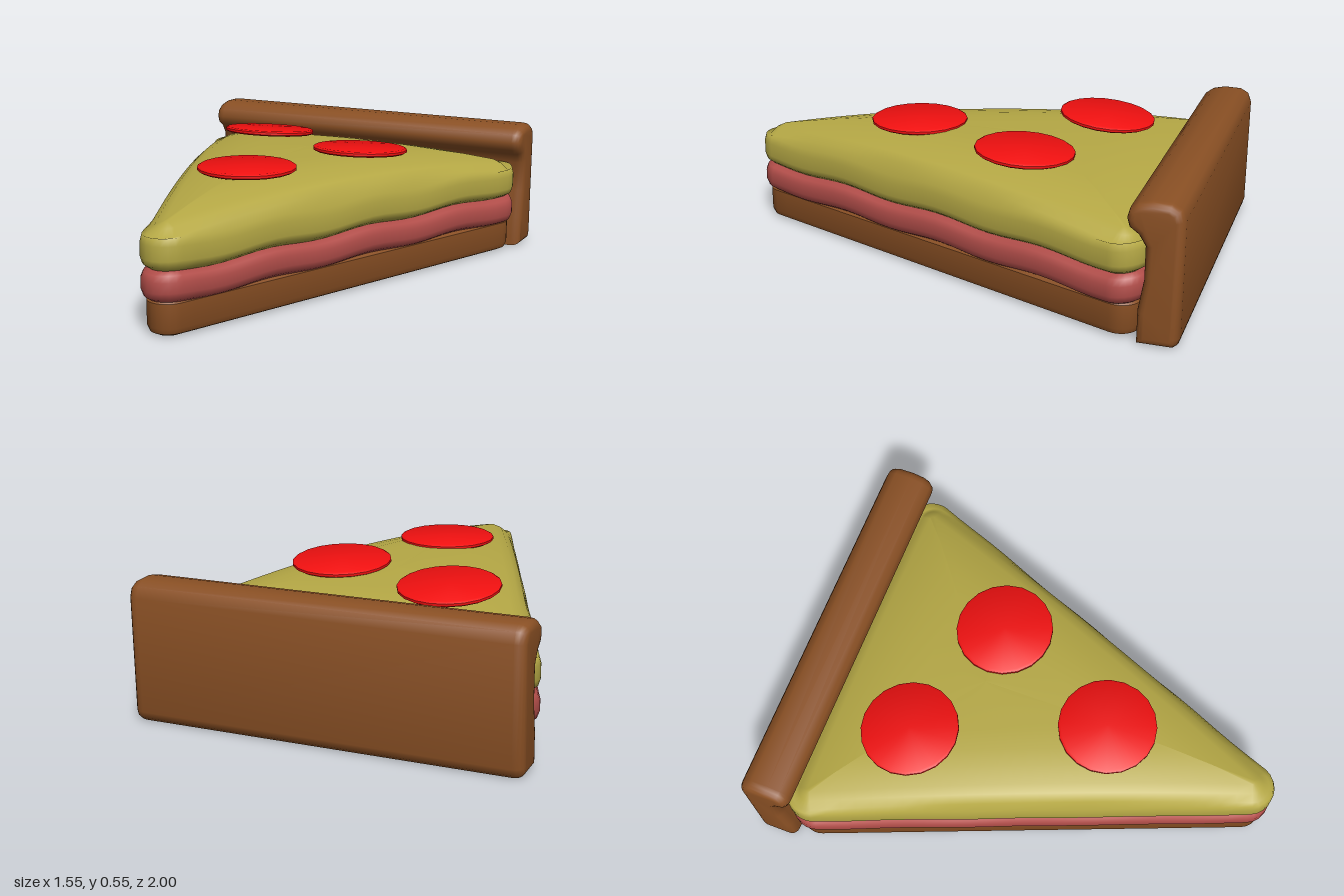
import * as THREE from 'three';
import { toCreasedNormals } from 'three/addons/utils/BufferGeometryUtils.js';

const RADIUS = 0.1; // corner rounding of the wedge outline
const CORE = [[0, 0.9], [0.655, -0.76], [-0.655, -0.76]];
const MIDDLE = [0, -0.25];

// Rounded triangle as core points with outward normals, tip first
function wedgeOutline(sideSteps = 28, arcSteps = 8) {
  const a = Math.atan2(1.66, 0.655);
  const arcs = [[-a, a], [a, Math.PI], [Math.PI, 2 * Math.PI - a]];
  const points = [];
  CORE.forEach((c, k) => {
    const [from, to] = arcs[k];
    for (let i = 0; i <= arcSteps; i++) {
      const t = from + (to - from) * i / arcSteps;
      points.push([c[0], c[1], Math.sin(t), Math.cos(t)]);
    }
    const next = CORE[(k + 1) % 3];
    for (let i = 1; i < sideSteps; i++) {
      const f = i / sideSteps;
      points.push([c[0] + (next[0] - c[0]) * f, c[1] + (next[1] - c[1]) * f, Math.sin(to), Math.cos(to)]);
    }
  });
  return points;
}

// Stacks rings of the outline: [inset from edge, shrink to middle, y or y(x, z)]
function wedgeLayer(rings) {
  const outline = wedgeOutline();
  const n = outline.length, pos = [], index = [];
  for (const [inset, shrink, height] of rings) {
    for (const [cx, cz, nx, nz] of outline) {
      const r = RADIUS - inset;
      const x = cx + (MIDDLE[0] - cx) * shrink + nx * r;
      const z = cz + (MIDDLE[1] - cz) * shrink + nz * r;
      pos.push(x, typeof height === 'function' ? height(x, z) : height, z);
    }
  }
  for (let k = 0; k < rings.length - 1; k++) {
    for (let i = 0; i < n; i++) {
      const a = k * n + i, b = k * n + (i + 1) % n;
      index.push(a, b, b + n, a, b + n, a + n);
    }
  }
  const geo = new THREE.BufferGeometry();
  geo.setAttribute('position', new THREE.Float32BufferAttribute(pos, 3));
  geo.setIndex(index);
  geo.computeVertexNormals();
  return geo;
}

const wave = (x, z) => 0.007 * Math.sin(z * 13 + 1) + 0.004 * Math.sin(x * 17 + z * 5);
const wavy = (y) => (x, z) => y + wave(x, z);
const cheeseTop = (drop) => (x, z) => 0.5 - drop - 0.07 * z * z - 0.07 * x * x;

export function createModel() {
  const group = new THREE.Group();
  const add = (name, geo, color) => {
    const mesh = new THREE.Mesh(geo, new THREE.MeshStandardMaterial({ color }));
    mesh.name = name;
    group.add(mesh);
    return mesh;
  };
  const brown = 0x8a5024;

  // Flat dough under the fillings
  add('doughBase', toCreasedNormals(wedgeLayer([
    [RADIUS, 1, 0], [0.055, 0, 0], [0.03, 0, 0.012], [0.02, 0, 0.035],
    [0.02, 0, 0.13], [0.04, 0, 0.15], [RADIUS, 1, 0.15],
  ]), 0.7), brown);

  // Raised back crust, rolled forward at the top
  const profile = [
    [-0.975, 0], [-0.84, 0], [-0.84, 0.13], [-0.86, 0.25], [-0.86, 0.38], [-0.835, 0.42],
    [-0.8, 0.445], [-0.79, 0.48], [-0.8, 0.515], [-0.83, 0.538], [-0.88, 0.55],
    [-0.95, 0.548], [-0.985, 0.53], [-1, 0.49], [-1, 0.04], [-0.993, 0.015],
  ];
  const shape = new THREE.Shape(profile.map(([z, y]) => new THREE.Vector2(z, y)));
  const crust = new THREE.ExtrudeGeometry(shape, {
    depth: 1.47, bevelThickness: 0.04, bevelSize: 0.03, bevelOffset: -0.03, bevelSegments: 4,
  });
  crust.translate(0, 0, -0.735);
  crust.rotateY(-Math.PI / 2);
  add('backCrust', toCreasedNormals(crust, 0.8), brown);

  // Wavy filling
  add('meatLayer', wedgeLayer([
    [RADIUS, 1, 0.14], [0.09, 0, wavy(0.13)], [0.035, 0, wavy(0.128)], [0.01, 0, wavy(0.143)],
    [0, 0, wavy(0.17)], [0, 0, wavy(0.21)], [0.01, 0, wavy(0.235)],
    [0.035, 0, wavy(0.25)], [0.09, 0, wavy(0.252)], [RADIUS, 1, 0.25],
  ]), 0xb34e4a);

  // Thick cheese with a domed top
  add('cheeseLayer', wedgeLayer([
    [RADIUS, 1, 0.25], [0.09, 0, wavy(0.252)], [0.03, 0, wavy(0.25)], [0.008, 0, wavy(0.265)],
    [0, 0, wavy(0.29)], [0, 0, wavy(0.345)], [0.008, 0, wavy(0.375)], [0.025, 0, cheeseTop(0.06)],
    [0.055, 0, cheeseTop(0.035)], [0.09, 0, cheeseTop(0.022)], [RADIUS, 0.14, cheeseTop(0.01)],
    [RADIUS, 0.3, cheeseTop(0.001)], [RADIUS, 0.5, cheeseTop(0)], [RADIUS, 0.75, cheeseTop(0)],
    [RADIUS, 1, cheeseTop(0)],
  ]), 0xb5a845);

  // Round slices on top: x, y, z, tilt
  const slice = new THREE.LatheGeometry([
    [0, -0.011], [0.19, -0.011], [0.2, -0.005], [0.2, 0.005], [0.19, 0.011], [0, 0.011],
  ].map(([r, y]) => new THREE.Vector2(r, y)), 20);
  const sliceGeo = toCreasedNormals(slice, 0.7);
  [[-0.3, 0.506, -0.46, -0.1], [0.24, 0.504, -0.26, -0.065], [-0.01, 0.501, 0.28, 0]]
    .forEach(([x, y, z, tilt], i) => {
      const mesh = add('toppingSlice' + (i + 1), sliceGeo, 0xf01010);
      mesh.position.set(x, y, z);
      mesh.rotation.x = tilt;
    });

  return group;
}
